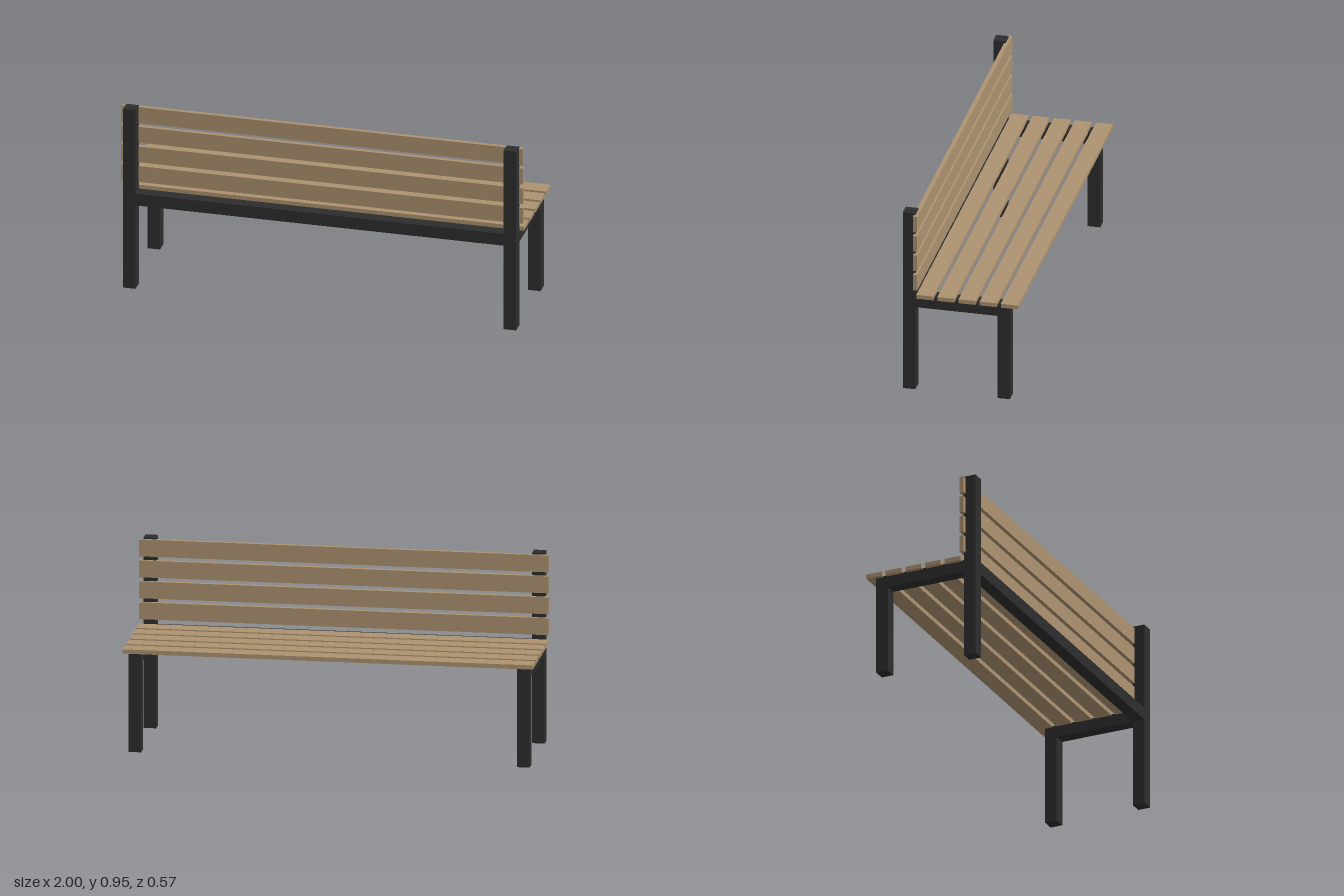
import * as THREE from 'three';

export function createModel() {
  const bench = new THREE.Group();
  bench.name = 'bench';

  const wood = new THREE.MeshStandardMaterial({ color: 0xac9270 });
  wood.name = 'wood';
  const metal = new THREE.MeshStandardMaterial({ color: 0x2d2d2d });
  metal.name = 'darkMetal';

  // Box given by its lower and upper corners
  function addBox(name, material, [x0, y0, z0], [x1, y1, z1]) {
    const mesh = new THREE.Mesh(new THREE.BoxGeometry(x1 - x0, y1 - y0, z1 - z0), material);
    mesh.position.set((x0 + x1) / 2, (y0 + y1) / 2, (z0 + z1) / 2);
    mesh.name = name;
    bench.add(mesh);
  }

  const outer = 0.979, inner = 0.917;   // frame tube in x
  const railLow = 0.443, railTop = 0.505;
  const postNear = 0.225, postFar = 0.287;
  const legNear = -0.243, legFar = -0.181;

  // Side frames: tall post, short leg and the seat bearer between them
  for (const [side, a, b] of [['left', inner, outer], ['right', -outer, -inner]]) {
    addBox(side + 'BackPost', metal, [a, 0, postNear], [b, 0.948, postFar]);
    addBox(side + 'SeatLeg', metal, [a, 0, legNear], [b, railTop, legFar]);
    addBox(side + 'SeatBearer', metal, [a, railLow, legFar], [b, railTop, postNear]);
  }

  // Long rail joining the tall posts
  addBox('backRail', metal, [-inner, railLow, postNear], [inner, railTop, postFar]);

  // Seat slats
  for (let i = 0; i < 5; i++) {
    const z = -0.287 + i * 0.1047;
    addBox('seatSlat' + (i + 1), wood, [-1, 0.5, z], [1, 0.521, z + 0.084]);
  }

  // Backrest slats
  for (let i = 0; i < 4; i++) {
    const y = 0.544 + i * 0.1043;
    addBox('backSlat' + (i + 1), wood, [-1, y, 0.212], [1, y + 0.084, 0.233]);
  }

  return bench;
}
